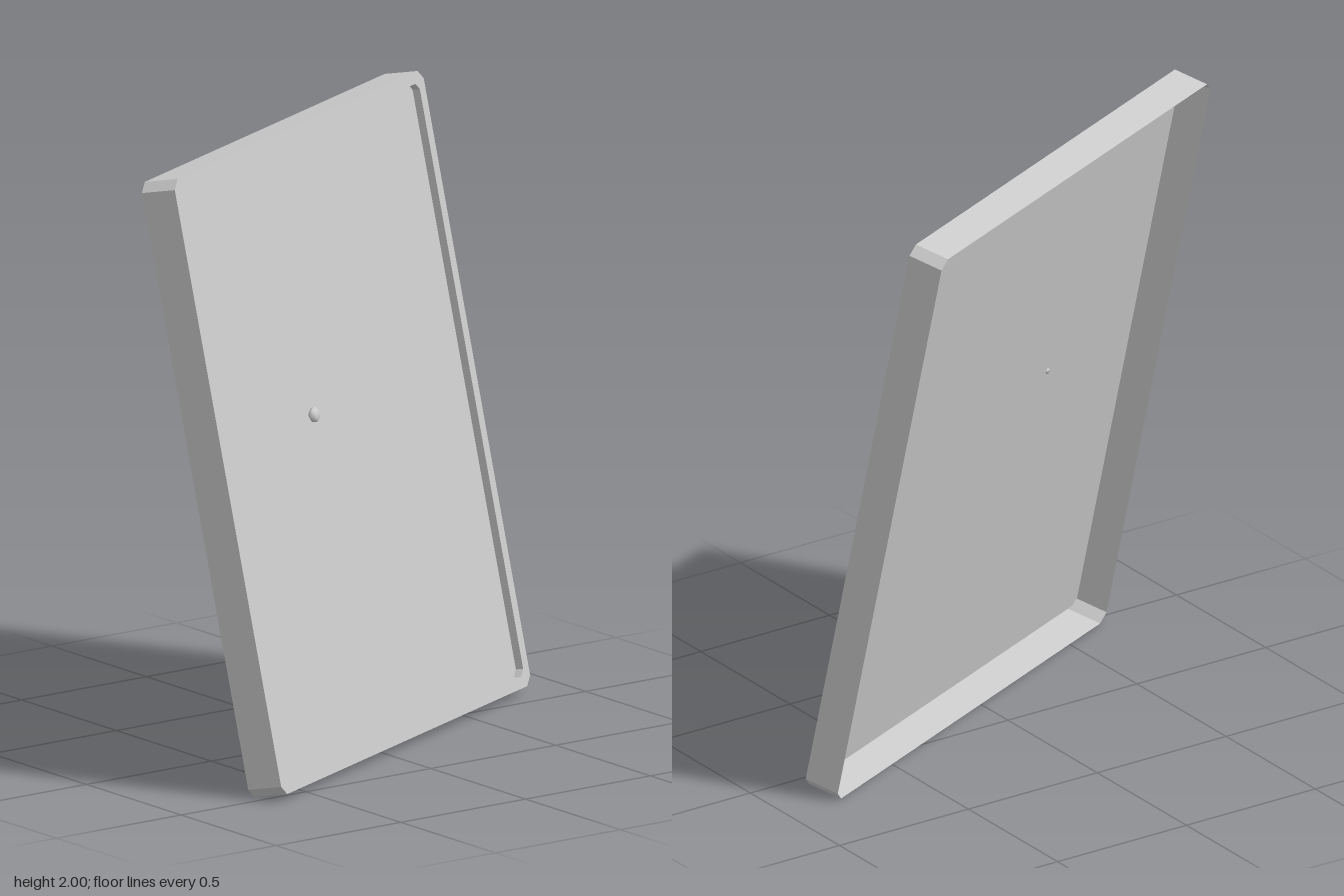
import * as THREE from 'three';

const W = 1.66, H = 2.016, HALF_DEPTH = 0.061; // door outline and half its thickness
const RIM = 0.036, FIELD_Z = 0.034;            // rim width and level of the sunken field

// Rectangle with cut corners, counter-clockwise
function outline(w, h, c) {
  const x = w / 2, y = h / 2;
  return [
    [x, -y + c], [x, y - c], [x - c, y], [-x + c, y],
    [-x, y - c], [-x, -y + c], [-x + c, -y], [x - c, -y],
  ].map(([a, b]) => new THREE.Vector2(a, b));
}

// Flat-faced wall joining the same outline at two levels
function wall(points, z0, z1) {
  const pos = [];
  points.forEach((a, i) => {
    const b = points[(i + 1) % points.length];
    pos.push(a.x, a.y, z0, b.x, b.y, z0, b.x, b.y, z1);
    pos.push(a.x, a.y, z0, b.x, b.y, z1, a.x, a.y, z1);
  });
  const g = new THREE.BufferGeometry();
  g.setAttribute('position', new THREE.Float32BufferAttribute(pos, 3));
  g.computeVertexNormals();
  return g;
}

export function createModel() {
  const material = new THREE.MeshStandardMaterial({ color: 0xcccccc, side: THREE.DoubleSide });
  const door = new THREE.Group();
  door.name = 'door';
  const add = (name, geometry, x = 0, y = 0, z = 0) => {
    const mesh = new THREE.Mesh(geometry, material);
    mesh.name = name;
    mesh.position.set(x, y, z);
    door.add(mesh);
    return mesh;
  };

  const outer = outline(W, H, 0.03);
  const inner = outline(W - 2 * RIM, H - 2 * RIM, 0.022);

  // Shell, open at the back
  add('outerWall', wall(outer, -HALF_DEPTH, HALF_DEPTH));
  const rim = new THREE.Shape(outer);
  rim.holes.push(new THREE.Path(inner));
  add('frontRim', new THREE.ShapeGeometry(rim), 0, 0, HALF_DEPTH);
  add('recessWall', wall([...inner].reverse(), FIELD_Z, HALF_DEPTH));
  add('sunkenField', new THREE.ShapeGeometry(new THREE.Shape(inner)), 0, 0, FIELD_Z);

  // Two thin plates standing off the field
  add('upperPlate', new THREE.PlaneGeometry(0.42, 0.525), -0.245, -0.1, 0.072);
  add('lowerPlate', new THREE.PlaneGeometry(0.418, 0.25), -0.291, -0.718, 0.055);

  // Knob on a narrow stem
  const profile = [
    [0, 0.03], [0.009, 0.03], [0.009, 0.07], [0.024, 0.082],
    [0.024, 0.092], [0.015, 0.1], [0, 0.1],
  ].map(([r, y]) => new THREE.Vector2(r, y));
  add('knob', new THREE.LatheGeometry(profile, 16), -0.26, 0.114, 0).rotation.x = Math.PI / 2;

  // Turn the door to the side and lean it back
  const turn = THREE.MathUtils.degToRad(24.2), lean = THREE.MathUtils.degToRad(11.4);
  const across = new THREE.Vector3(-Math.sin(turn), 0, -Math.cos(turn));
  const facing = new THREE.Vector3(
    Math.cos(turn) * Math.cos(lean), Math.sin(lean), -Math.sin(turn) * Math.cos(lean));
  const up = new THREE.Vector3().crossVectors(facing, across);
  door.quaternion.setFromRotationMatrix(new THREE.Matrix4().makeBasis(across, up, facing));
  door.position.y = 1;

  const model = new THREE.Group();
  model.name = 'leaningDoor';
  model.add(door);
  return model;
}
